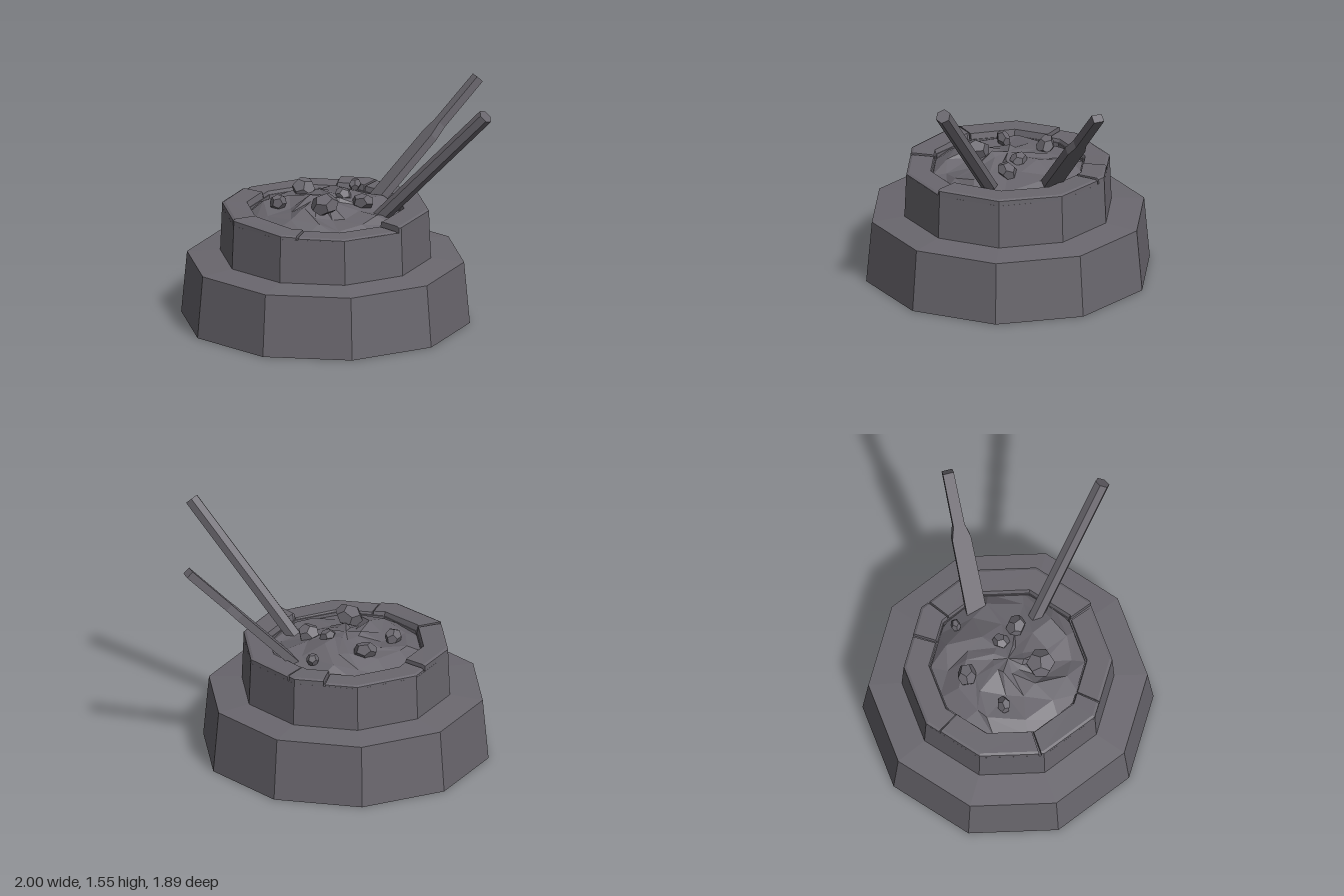
import * as THREE from 'three';

export function createModel() {
  const model = new THREE.Group();
  const stone = new THREE.MeshStandardMaterial({ color: 0x6a676e, flatShading: true, side: THREE.DoubleSide });
  stone.name = 'charcoal grey';

  const add = (name, geometry, parent = model) => {
    const mesh = new THREE.Mesh(geometry, stone);
    mesh.name = name;
    parent.add(mesh);
    return mesh;
  };

  let seed = 11;
  const rand = () => (seed = (seed * 16807) % 2147483647) / 2147483647;

  // Joins equal-length rows of points into a sheet
  const sheet = (rows) => {
    const pos = [];
    for (let i = 0; i + 1 < rows.length; i++) {
      for (let j = 0; j + 1 < rows[i].length; j++) {
        const a = rows[i][j], b = rows[i + 1][j], c = rows[i + 1][j + 1], d = rows[i][j + 1];
        pos.push(...a, ...b, ...c, ...a, ...c, ...d);
      }
    }
    const g = new THREE.BufferGeometry();
    g.setAttribute('position', new THREE.Float32BufferAttribute(pos, 3));
    g.computeVertexNormals();
    return g;
  };

  // Ten-sided pit, its centre left of the origin
  const pit = new THREE.Group();
  pit.name = 'firePit';
  pit.position.x = -0.105;
  model.add(pit);

  // Hollow two-step shell, open underneath
  const shell = (pts) => new THREE.LatheGeometry(pts.map(([r, y]) => new THREE.Vector2(r, y)), 10);
  add('lowerTier', shell([[0.945, 0], [0.907, 0.412], [0.69, 0.432]]), pit);
  add('upperTier', shell([[0.69, 0.432], [0.678, 0.722], [0.5, 0.722], [0.5, 0.68]]), pit);

  // Point on a decagon of corner radius r at a given angle in degrees
  const onDecagon = (r, y, deg) => {
    const local = (((deg % 36) + 36) % 36) - 18;
    const q = r * Math.cos(Math.PI / 10) / Math.cos(THREE.MathUtils.degToRad(local));
    const a = THREE.MathUtils.degToRad(deg);
    return [q * Math.sin(a), y, q * Math.cos(a)];
  };

  // Capping stones: start angle, end angle, height at each end
  const caps = [[-27, 34, 0.738, 0.732], [34, 139, 0.765, 0.755], [139, 161, 0.76, 0.762],
    [161, 225, 0.74, 0.745], [225, 286, 0.765, 0.76], [286, 333, 0.765, 0.745]];
  for (const [from, to, y0, y1] of caps) {
    const stops = [from + 0.6];
    for (let a = Math.ceil((from + 1) / 36) * 36; a < to - 1; a += 36) stops.push(a);
    stops.push(to - 0.6);
    const rows = stops.map((a) => {
      const y = y0 + (y1 - y0) * (a - from) / (to - from);
      return [onDecagon(0.678, 0.71, a), onDecagon(0.677, y - 0.008, a), onDecagon(0.66, y, a),
        onDecagon(0.515, y, a), onDecagon(0.5, 0.7, a)];
    });
    // Closed ends
    const flat = (row) => row.map(() => row[0]);
    add('rimStone', sheet([flat(rows[0]), ...rows, flat(rows[rows.length - 1])]), pit);
  }

  // Heap of ash: a jagged mound built from rings
  const n = 14;
  const heap = [[0.505, 0.70, 0], [0.4, 0.74, 0.04], [0.25, 0.775, 0.06], [0.1, 0.815, 0.03], [0, 0.82, 0]]
    .map(([r, y, rough]) => {
      const row = [];
      for (let i = 0; i < n; i++) {
        const a = (i + (rough ? rand() - 0.5 : 0) * 0.7) / n * Math.PI * 2;
        const q = r * (1 + (rand() - 0.5) * rough * 4);
        row.push([q * Math.sin(a), y + (rand() - 0.5) * rough * 1.5, q * Math.cos(a)]);
      }
      row.push(row[0]);
      return row;
    });
  add('ashHeap', sheet(heap.reverse()), pit);

  // Loose coals: x, y, z, size
  [[-0.15, 0.835, 0.21, 0.1], [-0.2, 0.8, -0.27, 0.08], [0.15, 0.785, -0.33, 0.045],
    [-0.41, 0.785, -0.04, 0.06], [0.13, 0.79, 0.06, 0.075], [0.02, 0.815, -0.04, 0.06]].forEach(([x, y, z, s], i) => {
    const coal = add('coal', new THREE.DodecahedronGeometry(s, 0));
    coal.position.set(x, y, z);
    coal.scale.set(0.95, 0.72, 1);
    coal.rotation.set(i * 0.7, i * 1.3, 0.3);
  });

  // Round poker leaning to the front left
  const foot = new THREE.Vector3(0.185, 0.68, 0.17), tip = new THREE.Vector3(0.83, 1.515, 0.65);
  const axis = tip.clone().sub(foot);
  const poker = add('hexagonalStick', new THREE.CylinderGeometry(0.05, 0.05, axis.length(), 6));
  poker.position.copy(foot).add(tip).multiplyScalar(0.5);
  poker.quaternion.setFromUnitVectors(new THREE.Vector3(0, 1, 0), axis.normalize());

  // Flat split stick leaning to the back left, narrowing near the middle
  const a = new THREE.Vector3(0.235, 0.69, -0.185), b = new THREE.Vector3(0.965, 1.46, -0.35);
  const along = b.clone().sub(a);
  const side = new THREE.Vector3(-along.z, 0, along.x).normalize();
  const thick = new THREE.Vector3().crossVectors(along, side).normalize();
  const corner = (t, w, d) => a.clone().addScaledVector(along, t).addScaledVector(side, w).addScaledVector(thick, d).toArray();
  const board = [[0, 0, 0], [0, 0.066, 0.027], [0.55, 0.062, 0.027], [0.64, 0.038, 0.027], [1, 0.036, 0.027], [1, 0, 0]]
    .map(([t, w, d]) => [[-w, -d], [w, -d], [w, d], [-w, d], [-w, -d]].map(([u, v]) => corner(t, u, v)));
  add('splitStick', sheet(board));

  return model;
}
